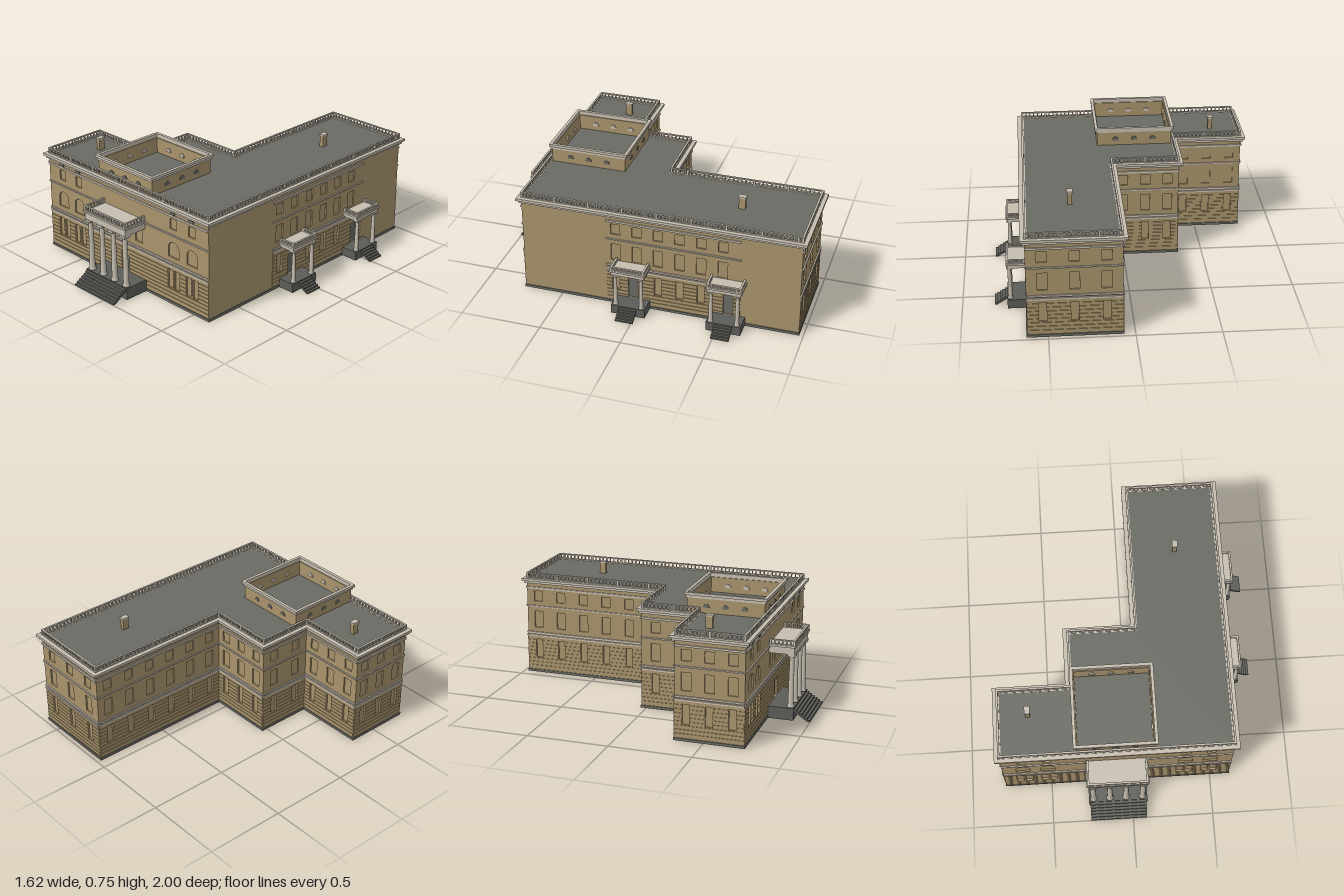
import * as THREE from 'three';
import { mergeGeometries } from 'three/addons/utils/BufferGeometryUtils.js';

const mat = (name, color, side = THREE.FrontSide) => {
  const m = new THREE.MeshStandardMaterial({ color, side });
  m.name = name;
  return m;
};
const TAN = mat('tan plaster', 0xa8936c, THREE.DoubleSide);
const STONE = mat('pale stone', 0xc6beb0);
const DARK = mat('dark grey', 0x6a6a64, THREE.DoubleSide);
const STEP = mat('step grey', 0x5c5c57);

// Wall corners (x, z), walked so that the outside lies to the right
const PLAN = [[-0.785, 0.74], [0.62, 0.74], [0.62, -0.97], [0.07, -0.97],
  [0.07, -0.03], [-0.345, -0.03], [-0.345, 0.325], [-0.785, 0.325]];
const TOWER = [[-0.325, 0.725], [0.145, 0.725], [0.145, 0.25], [-0.325, 0.25]];

function add(group, name, geo, material) {
  const m = new THREE.Mesh(geo, material);
  m.name = name;
  group.add(m);
  return m;
}
const box = (w, h, d, x, y, z) => new THREE.BoxGeometry(w, h, d).translate(x, y, z);
const edges = (pts) => pts.map((a, i) => {
  const b = pts[(i + 1) % pts.length];
  const L = Math.hypot(b[0] - a[0], b[1] - a[1]);
  return { a, b, L, dx: (b[0] - a[0]) / L, dz: (b[1] - a[1]) / L };
});
// Move every side of a right-angled plan outward by d
function offset(pts, d) {
  const es = edges(pts);
  return pts.map((p, i) => {
    const e = es[i], f = es[(i + es.length - 1) % es.length];
    return [p[0] - (e.dz + f.dz) * d, p[1] + (e.dx + f.dx) * d];
  });
}
const vecs = (pts) => pts.map(([x, z]) => new THREE.Vector2(x, -z));
// Flat slab or ring following a plan between two heights
function slab(outer, inner, y0, y1) {
  const s = new THREE.Shape(vecs(outer));
  if (inner) s.holes.push(new THREE.Path(vecs(inner)));
  return new THREE.ExtrudeGeometry(s, { depth: y1 - y0, bevelEnabled: false })
    .rotateX(-Math.PI / 2).translate(0, y0, 0);
}
// Outline of a window or door, centred on x, standing on y
function opening(Type, { x, y, w, h, arch }) {
  const p = new Type(), r = w / 2;
  p.moveTo(x - r, y);
  p.lineTo(x + r, y);
  if (arch) {
    p.lineTo(x + r, y + h - r);
    p.absarc(x, y + h - r, r, 0, Math.PI, false);
  } else {
    p.lineTo(x + r, y + h);
    p.lineTo(x - r, y + h);
  }
  p.closePath();
  return p;
}
const archPlate = (o, z, d) => new THREE.ExtrudeGeometry(opening(THREE.Shape, { ...o, arch: true }),
  { depth: d, bevelEnabled: false, curveSegments: 8 }).translate(0, 0, z);

// Rail on small posts along local x
function railParts(L, y, h, step) {
  const parts = [box(L + 0.012, 0.007, 0.012, L / 2, y + h - 0.0035, 0),
    box(L + 0.012, 0.005, 0.011, L / 2, y + 0.0025, 0)];
  const n = Math.max(2, Math.round(L / step));
  for (let i = 0; i <= n; i++) {
    const w = i % 8 === 0 || i === n ? 0.013 : 0.007;
    parts.push(box(w, h - 0.004, w, L * i / n, y + h / 2 - 0.002, 0));
  }
  return parts;
}
function balustrade(pts, y, h, step, closed = true) {
  const list = edges(pts);
  if (!closed) list.pop();
  return mergeGeometries(list.flatMap((e) => railParts(e.L, y, h, step)
    .map((g) => g.rotateY(Math.atan2(-e.dz, e.dx)).translate(e.a[0], 0, e.a[1]))));
}

// One wall: pierced sheet, set-back panes, stone courses and bands over [s0, s1]
function wall(e, holes, name, s0 = 0, s1 = e.L) {
  const g = new THREE.Group();
  g.name = name;
  g.position.set(e.a[0], 0, e.a[1]);
  g.rotation.y = Math.atan2(-e.dz, e.dx);
  const s = new THREE.Shape([[0, 0], [e.L, 0], [e.L, 0.62], [0, 0.62]].map((p) => new THREE.Vector2(...p)));
  holes.forEach((o) => s.holes.push(opening(THREE.Path, o)));
  add(g, 'wallSheet', new THREE.ExtrudeGeometry(s, { depth: 0.012, bevelEnabled: false, curveSegments: 8 })
    .translate(0, 0, -0.012), TAN);
  for (const o of holes) {
    add(g, o.door ? 'door' : 'windowPane',
      new THREE.ShapeGeometry(opening(THREE.Shape, o), 8).translate(0, 0, -0.009), o.door ? DARK : TAN);
  }
  const courses = [];
  for (let i = 1; i < 10; i++) {
    const y = i * 0.025;
    let from = s0;
    const cuts = holes.filter((o) => o.y < y + 0.019 && o.y + o.h > y + 0.001).sort((p, q) => p.x - q.x);
    for (const c of [...cuts, { x: s1, w: 0 }]) {
      const to = c.x - c.w / 2;
      if (to - from > 0.002) courses.push(box(to - from, 0.02, 0.004, (from + to) / 2, y + 0.01, 0.002));
      from = c.x + c.w / 2;
    }
  }
  add(g, 'stoneCourses', mergeGeometries(courses), TAN);
  add(g, 'bands', mergeGeometries([[0.25, 0.011], [0.269, 0.011], [0.45, 0.008], [0.573, 0.012]]
    .map(([y, h]) => box(s1 - s0, h, 0.008, (s0 + s1) / 2, y, 0.004))), STONE);
  return g;
}
// Three storeys of rectangular windows at given positions
const storeys = (xs) => xs.flatMap((x) => [{ x, y: 0.1, w: 0.045, h: 0.125 },
  { x, y: 0.305, w: 0.058, h: 0.11 }, { x, y: 0.483, w: 0.058, h: 0.068 }]);
const spread = (n, L) => Array.from({ length: n }, (_, i) => L * (i + 0.5) / n);

// Thin folded stair descending along +z
function stair(w, h, run, n) {
  const s = new THREE.Shape();
  s.moveTo(0, h);
  for (let i = 0; i < n; i++) {
    s.lineTo(run * (i + 1) / n, h * (1 - i / n));
    s.lineTo(run * (i + 1) / n, h * (1 - (i + 1) / n));
  }
  s.lineTo(run * (n - 1) / n, 0);
  s.lineTo(0, h * (n - 1) / n);
  return new THREE.ExtrudeGeometry(s, { depth: w, bevelEnabled: false })
    .rotateY(-Math.PI / 2).translate(w / 2, 0, 0);
}
// Columned porch facing local +z
function porch(name, { w, depth, base, cols, r, top, entTop, railTop, stairW, run, steps }) {
  const g = new THREE.Group();
  g.name = name;
  add(g, 'platform', box(w, base, depth, 0, base / 2, depth / 2), STEP);
  add(g, 'steps', stair(stairW, base - 0.008, run, steps).translate(0, 0, depth), STEP);
  const cz = depth - r * 1.5, H = top - base;
  for (const x of cols) {
    const pts = [[0, 0], [1.4, 0], [1.4, 0.03], [1.1, 0.06], [1.05, 0.4], [0.85, 0.92], [1.25, 0.97], [1.25, 1], [0, 1]];
    add(g, 'column', new THREE.LatheGeometry(pts.map(([a, b]) => new THREE.Vector2(a * r, b * H)), 16)
      .translate(x, base, cz), STONE);
    add(g, 'capital', box(r * 2.9, H * 0.045, r * 2.9, x, top - H * 0.022, cz), STONE);
  }
  const eh = entTop - top;
  add(g, 'entablature', box(w - 0.006, eh, depth, 0, top + eh / 2, depth / 2 - 0.005), STONE);
  add(g, 'porchCornice', box(w + 0.012, 0.012, depth + 0.016, 0, entTop - 0.006, depth / 2 - 0.005), STONE);
  const x = w / 2 - 0.006, z = depth - 0.006;
  add(g, 'porchRail', balustrade([[-x, 0.01], [-x, z], [x, z], [x, 0.01]], entTop, railTop - entTop, 0.024, false), STONE);
  return g;
}

export function createModel() {
  const root = new THREE.Group();
  root.name = 'house';
  const E = edges(PLAN);

  // Front wall: paired ground windows, arched main floor, square upper floor
  const cx = 0.698, front = [{ x: cx, y: 0.075, w: 0.068, h: 0.112, arch: true, door: true }];
  for (const d of [-0.572, -0.42, 0.42, 0.572]) {
    const x = cx + d;
    for (const k of [-0.028, 0.028]) front.push({ x: x + k, y: 0.1, w: 0.043, h: 0.125 });
    front.push({ x, y: 0.305, w: 0.087, h: 0.1, arch: true }, { x, y: 0.487, w: 0.053, h: 0.065 });
  }
  for (const d of [-0.122, 0, 0.122]) front.push({ x: cx + d, y: 0.305, w: 0.06, h: 0.1, arch: true });
  const frontWall = wall(E[0], front, 'frontWall');
  for (const d of [-0.572, -0.42, 0.42, 0.572])
    add(frontWall, 'atticVent', box(0.034, 0.018, 0.007, cx + d, 0.588, 0.0035), DARK);
  root.add(frontWall);

  // Side wall: detailed middle between plain ends, with two doors
  const doorZ = [0.045, -0.542];
  const side = storeys([0.152, 0.021, -0.11, -0.243, -0.374, -0.505].map((z) => 0.74 - z))
    .filter((o) => o.y > 0.2 || !doorZ.some((z) => Math.abs(0.74 - z - o.x) < 0.06));
  for (const z of doorZ) side.push({ x: 0.74 - z, y: 0.055, w: 0.06, h: 0.14, arch: true, door: true });
  root.add(wall(E[1], side, 'leftWall', 0.53, 1.355));

  // Rear walls
  [3, 6, 3, 2, 3, 3].forEach((n, i) => {
    const e = E[i + 2];
    root.add(wall(e, storeys(spread(n, e.L)), 'rearWall' + (i + 1)));
  });

  // Plinth, cornice, roof and roof railing
  add(root, 'plinth', slab(offset(PLAN, 0.006), offset(PLAN, -0.005), 0, 0.016), DARK);
  add(root, 'corniceLower', slab(offset(PLAN, 0.014), offset(PLAN, -0.015), 0.603, 0.619), STONE);
  add(root, 'corniceUpper', slab(offset(PLAN, 0.026), offset(PLAN, -0.015), 0.619, 0.635), STONE);
  add(root, 'roof', slab(offset(PLAN, -0.012), null, 0.625, 0.634), DARK);
  add(root, 'roofRail', balustrade(offset(PLAN, -0.004), 0.635, 0.036, 0.026), STONE);

  // Open roof tower with vents
  const tower = new THREE.Group();
  tower.name = 'roofTower';
  add(tower, 'towerWalls', slab(TOWER, offset(TOWER, -0.01), 0.634, 0.73), TAN);
  add(tower, 'towerCorniceLower', slab(offset(TOWER, 0.007), offset(TOWER, -0.004), 0.722, 0.738), STONE);
  add(tower, 'towerCorniceUpper', slab(offset(TOWER, 0.015), offset(TOWER, -0.004), 0.738, 0.755), STONE);
  for (const e of edges(TOWER)) {
    const g = new THREE.Group();
    g.name = 'towerVents';
    g.position.set(e.a[0], 0, e.a[1]);
    g.rotation.y = Math.atan2(-e.dz, e.dx);
    for (const d of [-0.118, 0, 0.118]) {
      const o = { x: e.L / 2 + d, y: 0.667, w: 0.038, h: 0.023 };
      add(g, 'vent', archPlate(o, 0, 0.005), DARK);
      add(g, 'ventInside', archPlate(o, -0.017, 0.007), STONE);
    }
    tower.add(g);
  }
  root.add(tower);

  // Chimneys
  for (const [x, z] of [[-0.602, 0.475], [0.35, -0.545]]) {
    add(root, 'chimney', box(0.026, 0.074, 0.04, x, 0.669, z), TAN);
    add(root, 'chimneyCap', box(0.034, 0.01, 0.048, x, 0.71, z), STONE);
  }

  // Porches
  const main = porch('frontPorch', { w: 0.365, depth: 0.16, base: 0.075, cols: [-0.153, -0.051, 0.051, 0.153], r: 0.016,
    top: 0.41, entTop: 0.465, railTop: 0.497, stairW: 0.35, run: 0.1, steps: 6 });
  main.position.set(-0.088, 0, 0.74);
  root.add(main);
  for (const z of doorZ) {
    const p = porch('sidePorch', { w: 0.21, depth: 0.112, base: 0.057, cols: [-0.08, 0.08], r: 0.012,
      top: 0.268, entTop: 0.303, railTop: 0.325, stairW: 0.11, run: 0.077, steps: 5 });
    p.position.set(0.62, 0, z);
    p.rotation.y = Math.PI / 2;
    root.add(p);
  }
  return root;
}
